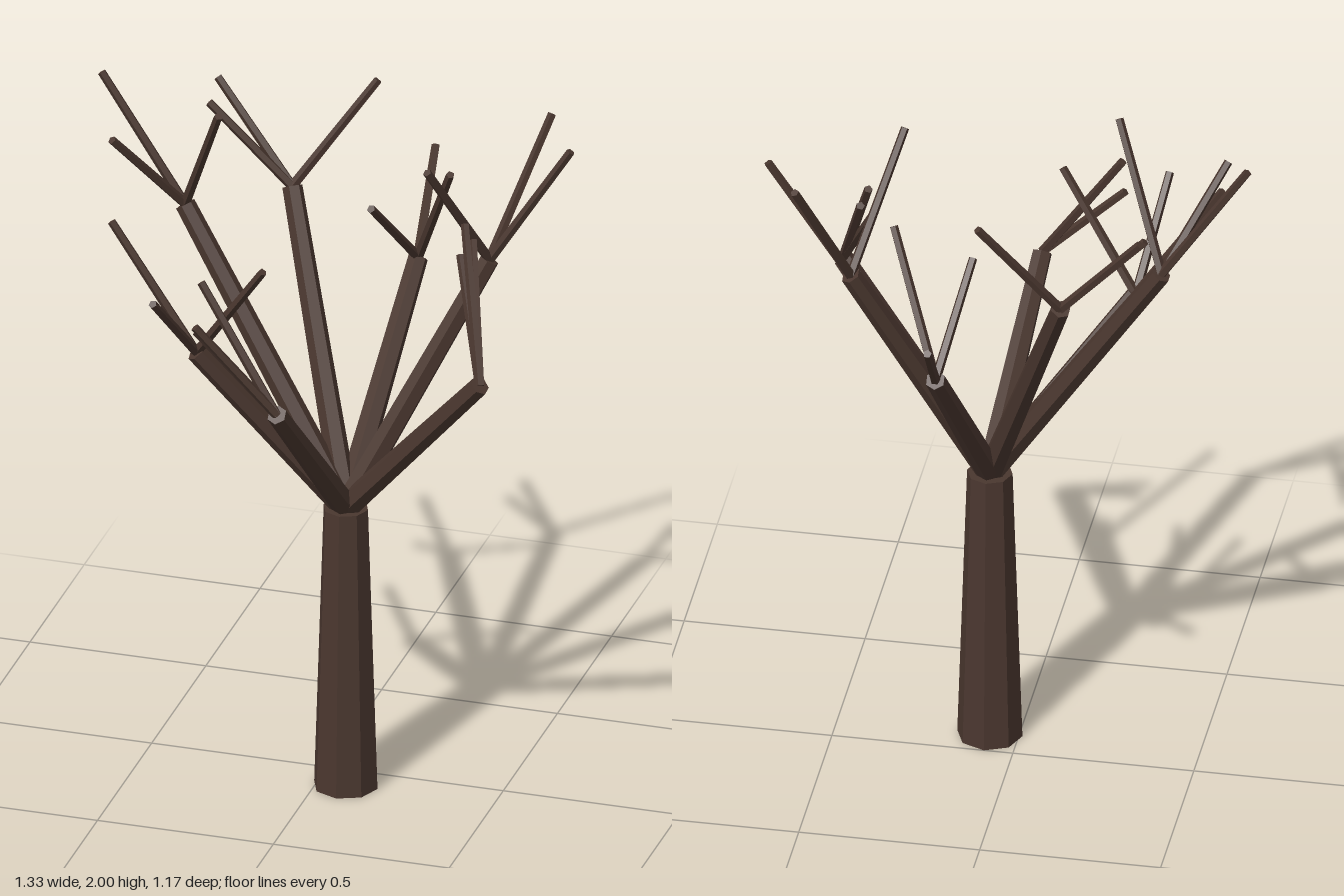
import * as THREE from 'three';

const UP = new THREE.Vector3(0, 1, 0);
const TRUNK_TOP = [0.08, 0.84, 0.09];

// Each branch tip is followed by the tips of the twigs that grow from it.
const BRANCHES = [
  { tip: [0.52, 1.36, 0.28], twigs: [[0.41, 1.73, 0.06], [0.40, 1.64, 0.07], [0.43, 1.68, 0.05]] },
  { tip: [0.43, 1.55, -0.10], twigs: [[0.55, 1.92, -0.29], [0.655, 1.90, -0.12], [0.32, 1.90, 0.12]] },
  { tip: [0.15, 1.40, -0.35], twigs: [[0.13, 1.63, -0.58], [0.30, 1.76, -0.16], [0.09, 1.65, -0.11]] },
  { tip: [-0.18, 1.61, -0.26], twigs: [[-0.41, 1.88, -0.32], [-0.41, 1.84, -0.24], [0.03, 1.91, -0.37]] },
  { tip: [-0.42, 1.62, -0.05], twigs: [[-0.66, 1.98, -0.06], [-0.57, 1.88, 0.14], [-0.27, 1.99, 0.13]] },
  { tip: [-0.29, 1.34, 0.27], twigs: [[-0.53, 1.70, 0.27], [-0.34, 1.59, 0.51], [-0.07, 1.66, 0.37]] },
  { tip: [0.01, 1.30, 0.50], twigs: [[-0.20, 1.57, 0.575], [-0.22, 1.52, 0.50], [-0.22, 1.645, 0.45]] },
];

// Tapered, faceted limb between two points
function limb(name, from, to, r0, r1, sides, material) {
  const a = new THREE.Vector3(...from);
  const b = new THREE.Vector3(...to);
  const dir = b.clone().sub(a);
  const mesh = new THREE.Mesh(new THREE.CylinderGeometry(r1, r0, dir.length(), sides), material);
  mesh.name = name;
  mesh.position.copy(a).add(b).multiplyScalar(0.5);
  mesh.quaternion.setFromUnitVectors(UP, dir.normalize());
  return mesh;
}

export function createModel() {
  const bark = new THREE.MeshStandardMaterial({ color: 0x4a372f });
  bark.name = 'dark bark';
  bark.flatShading = true;

  const tree = new THREE.Group();
  tree.name = 'bareTree';
  tree.add(limb('trunk', [0.08, 0, 0.09], TRUNK_TOP, 0.09, 0.063, 8, bark));

  // Seven main branches, each ending in a fork of twigs
  BRANCHES.forEach(({ tip, twigs }, i) => {
    const bough = new THREE.Group();
    bough.name = `bough${i + 1}`;
    bough.add(limb('branch', TRUNK_TOP, tip, 0.036, 0.028, 6, bark));
    twigs.forEach((end) => bough.add(limb('twig', tip, end, 0.014, 0.012, 5, bark)));
    tree.add(bough);
  });
  return tree;
}
